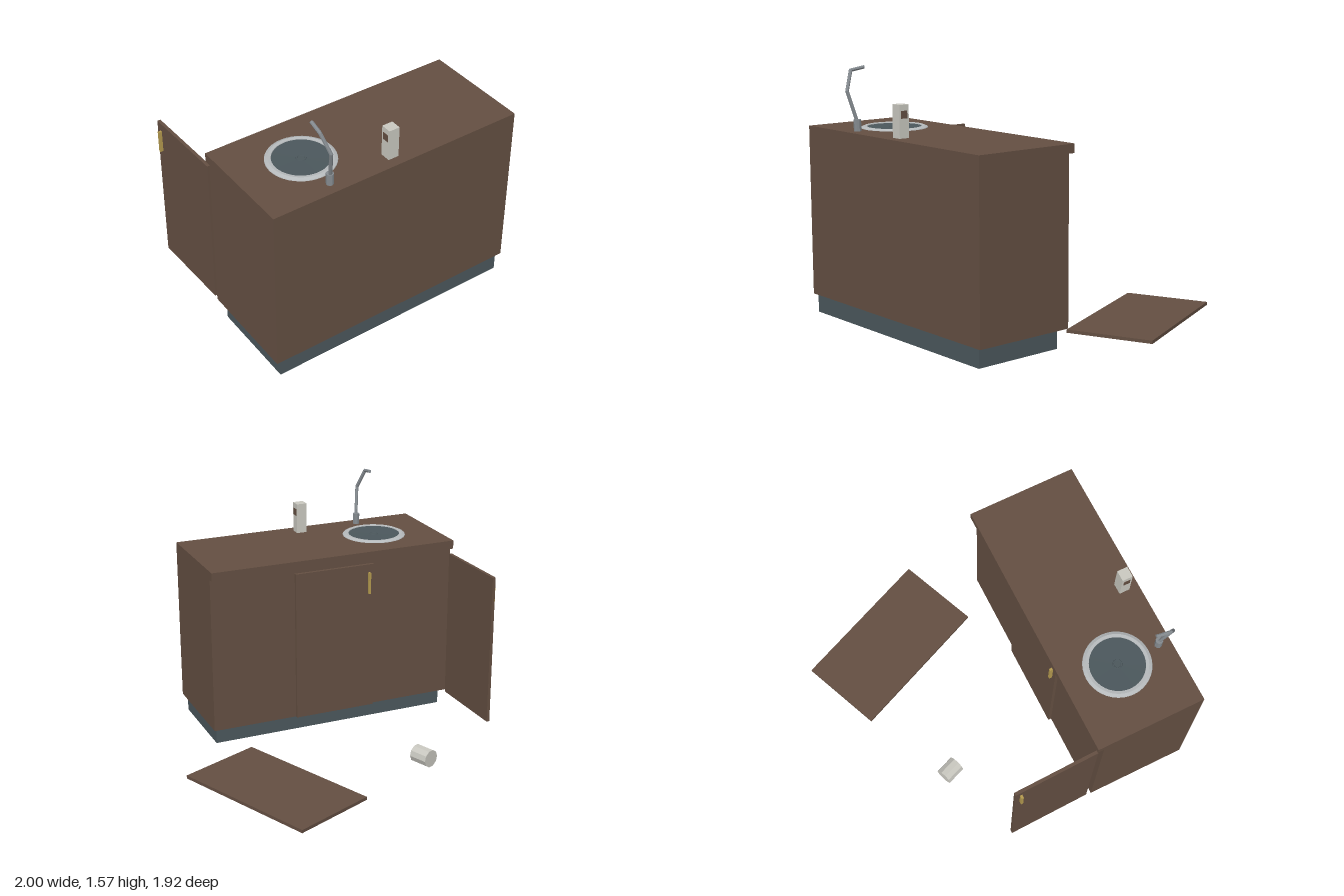
import * as THREE from 'three';

const material = (name, color, extra = {}) => {
  const m = new THREE.MeshStandardMaterial({ color, ...extra });
  m.name = name;
  return m;
};

export function createModel() {
  const root = new THREE.Group();
  root.name = 'sinkCabinet';

  const wood = material('brown wood', 0x644f42);
  const slate = material('slate grey', 0x4b575c);
  const steel = material('light steel', 0xb6babc);
  const chrome = material('tap grey', 0x858b90);
  const brass = material('brass', 0xb59b4f);
  const paper = material('off white', 0xc9c8c0);

  const add = (parent, name, geometry, mat) => {
    const mesh = new THREE.Mesh(geometry, mat);
    mesh.name = name;
    parent.add(mesh);
    return mesh;
  };

  // box given by its min and max corners
  const box = (parent, name, mat, [x0, y0, z0], [x1, y1, z1]) => {
    const mesh = add(parent, name, new THREE.BoxGeometry(x1 - x0, y1 - y0, z1 - z0), mat);
    mesh.position.set((x0 + x1) / 2, (y0 + y1) / 2, (z0 + z1) / 2);
    return mesh;
  };

  // flat sided rod between two points
  const rod = (parent, name, mat, a, b, r, sides) => {
    const from = new THREE.Vector3(...a), to = new THREE.Vector3(...b);
    const dir = to.clone().sub(from);
    const geometry = new THREE.CylinderGeometry(r, r, dir.length(), sides).toNonIndexed();
    geometry.computeVertexNormals();
    const mesh = add(parent, name, geometry, mat);
    mesh.position.copy(from).add(to).multiplyScalar(0.5);
    mesh.quaternion.setFromUnitVectors(new THREE.Vector3(0, 1, 0), dir.normalize());
    return mesh;
  };

  // cabinet
  box(root, 'plinth', slate, [-0.94, 0, 0.37], [0.655, 0.115, 0.945]);
  box(root, 'cabinetBody', wood, [-0.97, 0.115, 0.31], [0.685, 1.125, 0.96]);
  box(root, 'countertop', wood, [-0.97, 1.125, 0.27], [0.685, 1.18, 0.96]);

  // doors: centred panel, outer face -z, handle near one upper corner
  const W = 0.54, H = 0.975, T = 0.02;
  const door = (name, handleSide) => {
    const group = new THREE.Group();
    group.name = name;
    box(group, 'doorPanel', wood, [-W / 2, -H / 2, -T / 2], [W / 2, H / 2, T / 2]);
    const x = handleSide * (W / 2 - 0.037);
    box(group, 'handle', brass, [x - 0.007, 0.295, -T / 2 - 0.02], [x + 0.007, 0.435, -T / 2]);
    root.add(group);
    return group;
  };
  door('closedDoor', -1).position.set(-0.1425, 0.6025, 0.3);

  const openDoor = door('openDoor', 1);
  openDoor.position.set(-0.963, 0.6025, 0.008);
  openDoor.rotation.y = THREE.MathUtils.degToRad(91.5);

  const fallenDoor = door('fallenDoor', -1);
  fallenDoor.position.set(0.5575, 0.03, -0.405);
  fallenDoor.rotation.set(-Math.PI / 2, 0.4, 0, 'YXZ');

  // round sink: rim, basin and drain
  const sink = new THREE.Group();
  sink.name = 'sink';
  sink.position.set(-0.56, 1.18, 0.61);
  root.add(sink);
  const lathe = (name, mat, points) => {
    const geometry = new THREE.LatheGeometry(points.map(p => new THREE.Vector2(...p)), 40).toNonIndexed();
    geometry.computeVertexNormals();
    return add(sink, name, geometry, mat);
  };
  lathe('sinkRim', steel, [[0.205, 0], [0.203, 0.004], [0.185, 0.012], [0.167, 0.01], [0.165, 0.002]]);
  lathe('sinkBasin', slate, [[0.168, 0.006], [0.03, 0.003], [0, 0.003]]);
  lathe('drain', slate, [[0.03, 0.003], [0.028, 0.007], [0.022, 0.007], [0.02, 0.004], [0, 0.004]]);

  // tap: base and three bent spout sections
  const tap = new THREE.Group();
  tap.name = 'tap';
  root.add(tap);
  rod(tap, 'tapBase', chrome, [-0.557, 1.18, 0.882], [-0.557, 1.25, 0.882], 0.023, 8);
  const path = [[-0.557, 1.24, 0.885], [-0.585, 1.42, 0.932], [-0.62, 1.54, 0.88], [-0.612, 1.555, 0.79]];
  for (let i = 0; i < 3; i++) rod(tap, 'spoutSection', chrome, path[i], path[i + 1], 0.011, 8);
  for (const p of path.slice(1, 3)) {
    add(tap, 'spoutJoint', new THREE.SphereGeometry(0.011, 8, 6), chrome).position.set(...p);
  }

  // dispenser with a small panel on either side
  const dispenser = new THREE.Group();
  dispenser.name = 'dispenser';
  root.add(dispenser);
  box(dispenser, 'dispenserBody', paper, [-0.175, 1.18, 0.832], [-0.107, 1.375, 0.898]);
  for (const x of [-0.177, -0.107]) {
    box(dispenser, 'sidePanel', wood, [x, 1.295, 0.844], [x + 0.002, 1.34, 0.886]);
  }

  // paper roll lying on the floor
  rod(root, 'fallenRoll', paper, [-0.442, 0.055, -0.485], [-0.398, 0.055, -0.37], 0.0565, 10);

  return root;
}
